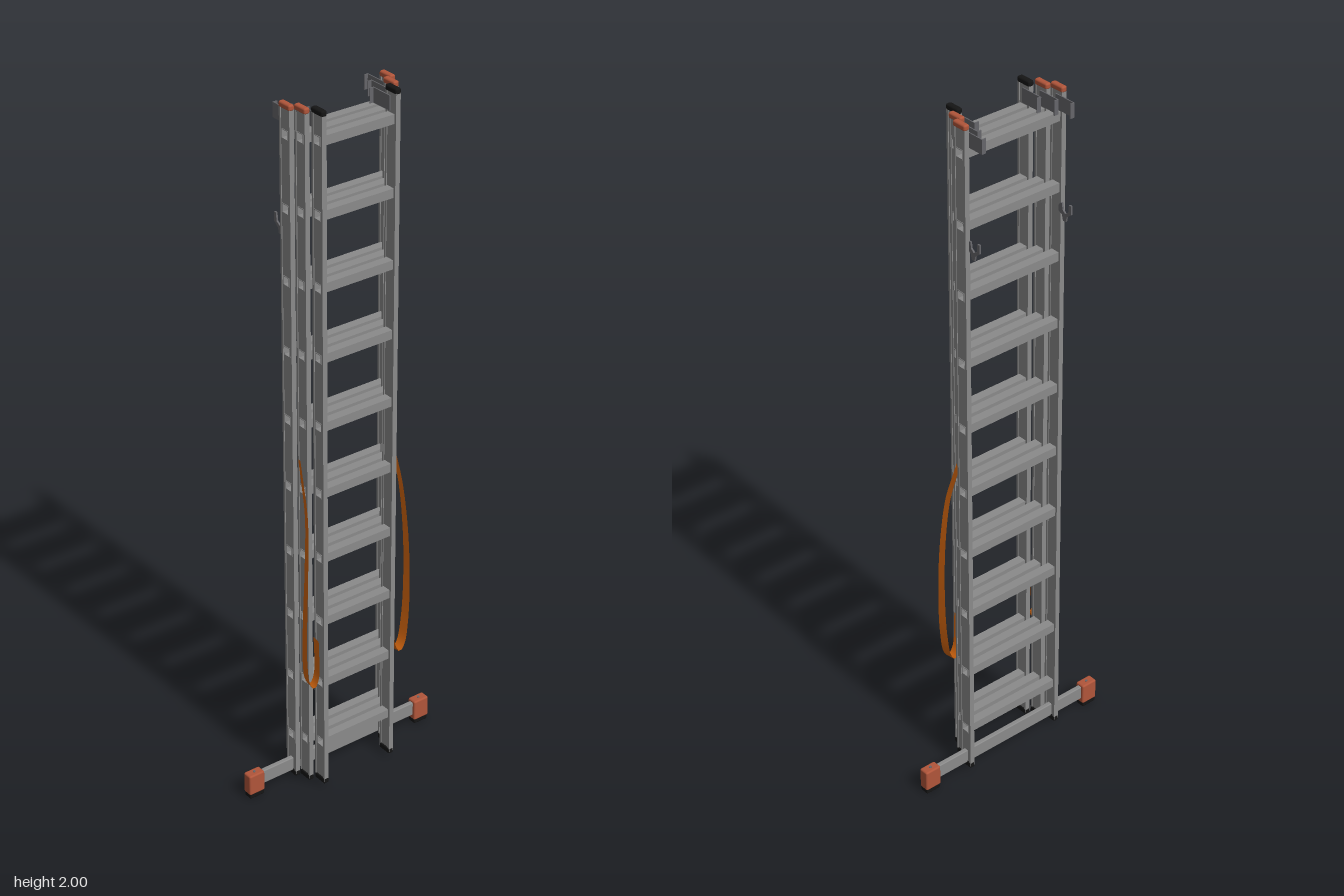
import * as THREE from 'three';
import { RoundedBoxGeometry } from 'three/addons/geometries/RoundedBoxGeometry.js';
import { ParametricGeometry } from 'three/addons/geometries/ParametricGeometry.js';

const mat = (name, color, side = THREE.FrontSide) => {
  const m = new THREE.MeshStandardMaterial({ color, side });
  m.name = name;
  return m;
};

// Outline of a rectangle, usable as a shape or as a hole
function rect(target, cx, cy, w, h) {
  target.moveTo(cx - w / 2, cy - h / 2);
  target.lineTo(cx + w / 2, cy - h / 2);
  target.lineTo(cx + w / 2, cy + h / 2);
  target.lineTo(cx - w / 2, cy + h / 2);
  target.closePath();
  return target;
}

// Extrude a (z, y) shape along x, centred on x = 0
function extrudeX(shape, width) {
  const g = new THREE.ExtrudeGeometry(shape, { depth: width, bevelEnabled: false });
  return g.translate(0, 0, -width / 2).rotateY(-Math.PI / 2);
}

export function createModel() {
  const root = new THREE.Group();
  root.name = 'extensionLadder';
  const aluminium = mat('aluminium', 0x8a8a8a);
  const steel = mat('darkSteel', 0x66666a);
  const rust = mat('rustPlastic', 0xb0553a);
  const black = mat('blackRubber', 0x151515);
  const orange = mat('orangeStrap', 0xd2650f, THREE.DoubleSide);

  const add = (parent, name, geo, material, x = 0, y = 0, z = 0) => {
    const m = new THREE.Mesh(geo, material);
    m.name = name;
    m.position.set(x, y, z);
    parent.add(m);
    return m;
  };

  const rungYs = Array.from({ length: 10 }, (_, i) => 0.148 + 0.1967 * i);
  const bottom = 0.022, top = 1.99, height = top - bottom, mid = (top + bottom) / 2;

  // Stile web, pierced where the hollow rungs pass through
  const webShape = rect(new THREE.Shape(), 0, mid, 0.04, height);
  for (const y of rungYs) webShape.holes.push(rect(new THREE.Path(), 0, y, 0.023, 0.023));
  const webGeo = extrudeX(webShape, 0.01);
  const flangeGeo = new THREE.BoxGeometry(0.014, height, 0.006);
  const topCapGeo = new RoundedBoxGeometry(0.017, 0.016, 0.045, 2, 0.005);
  const footGeo = new RoundedBoxGeometry(0.016, 0.018, 0.043, 2, 0.004);

  // Three nested ladder sections, back to front
  const sections = [
    { name: 'backSection', x: 0.153, z: -0.0155, cap: rust },
    { name: 'middleSection', x: 0.135, z: 0.022, cap: rust },
    { name: 'frontSection', x: 0.112, z: 0.0595, cap: black },
  ];
  for (const s of sections) {
    const section = new THREE.Group();
    section.name = s.name;
    section.position.z = s.z;
    root.add(section);

    for (const side of [-1, 1]) {
      const x = side * s.x;
      add(section, 'stileWeb', webGeo, aluminium, x);
      for (const f of [-1, 1]) add(section, 'stileFlange', flangeGeo, aluminium, x, mid, f * 0.018);
      add(section, 'topCap', topCapGeo, s.cap, x, 1.992, 0);
      add(section, 'stileFoot', footGeo, black, x, 0.024, 0);

      // Guide hook reaching behind the section at the top
      const hx = side * (s.x - 0.009);
      add(section, 'guidePlate', new THREE.BoxGeometry(0.003, 0.04, 0.066), steel, hx, 1.957, -0.033);
      add(section, 'guideLip', new THREE.BoxGeometry(0.013, 0.04, 0.003), steel, hx - side * 0.005, 1.957, -0.0655);
    }

    // Hollow square rungs
    const tube = rect(new THREE.Shape(), 0, 0, 0.0255, 0.0255);
    tube.holes.push(rect(new THREE.Path(), 0, 0, 0.022, 0.022));
    const rungGeo = extrudeX(tube, 2 * s.x + 0.013);
    for (const y of rungYs) add(section, 'rung', rungGeo, aluminium, 0, y, 0);
  }

  // Rung catch hooks on the back of the ladder
  const hookShape = new THREE.Shape([
    [-0.03, 1.675], [-0.03, 1.66], [-0.043, 1.654], [-0.047, 1.638], [-0.057, 1.638],
    [-0.06, 1.652], [-0.076, 1.665], [-0.076, 1.69], [-0.068, 1.69], [-0.066, 1.668],
    [-0.054, 1.66], [-0.045, 1.668], [-0.042, 1.685], [-0.036, 1.685],
  ].map(([z, y]) => new THREE.Vector2(z, y)));
  const hookGeo = extrudeX(hookShape, 0.005);

  // Webbing strap: a hanging ribbon that twists up at the bottom
  const path = new THREE.CatmullRomCurve3([
    [0.144, 1.02, 0.012], [0.148, 0.96, 0.03], [0.154, 0.87, 0.054], [0.164, 0.72, 0.066],
    [0.17, 0.55, 0.066], [0.168, 0.43, 0.062], [0.158, 0.36, 0.06], [0.143, 0.34, 0.06],
    [0.128, 0.365, 0.058], [0.124, 0.48, 0.053],
  ].map((p) => new THREE.Vector3(...p)));
  const strapGeo = (side) => new ParametricGeometry((u, v, target) => {
    const p = path.getPointAt(u);
    const width = 0.012 + 0.016 * Math.min(1, u * 1.3);
    const w = (v - 0.5) * width;
    target.set(side * (p.x + w * 0.15), p.y, p.z + w);
  }, 60, 2);

  for (const side of [-1, 1]) {
    add(root, 'catchHook', hookGeo, steel, side * 0.147);
    add(root, 'strap', strapGeo(side), orange);
  }

  // Wide stabiliser bar with block feet
  const base = new THREE.Group();
  base.name = 'stabiliser';
  root.add(base);
  add(base, 'stabiliserBar', new RoundedBoxGeometry(0.58, 0.042, 0.014, 2, 0.003), aluminium, 0, 0.049, -0.0155);
  const screwGeo = new THREE.CylinderGeometry(0.004, 0.004, 0.003, 12);
  for (const side of [-1, 1]) {
    const x = side * 0.285;
    add(base, 'footBlock', new RoundedBoxGeometry(0.05, 0.063, 0.03, 2, 0.005), rust, x, 0.0445, -0.0155);
    add(base, 'footPad', new RoundedBoxGeometry(0.046, 0.018, 0.027, 2, 0.004), black, x, 0.009, -0.0155);
    add(base, 'footScrew', screwGeo, steel, x, 0.0765, -0.0155);
  }
  return root;
}
